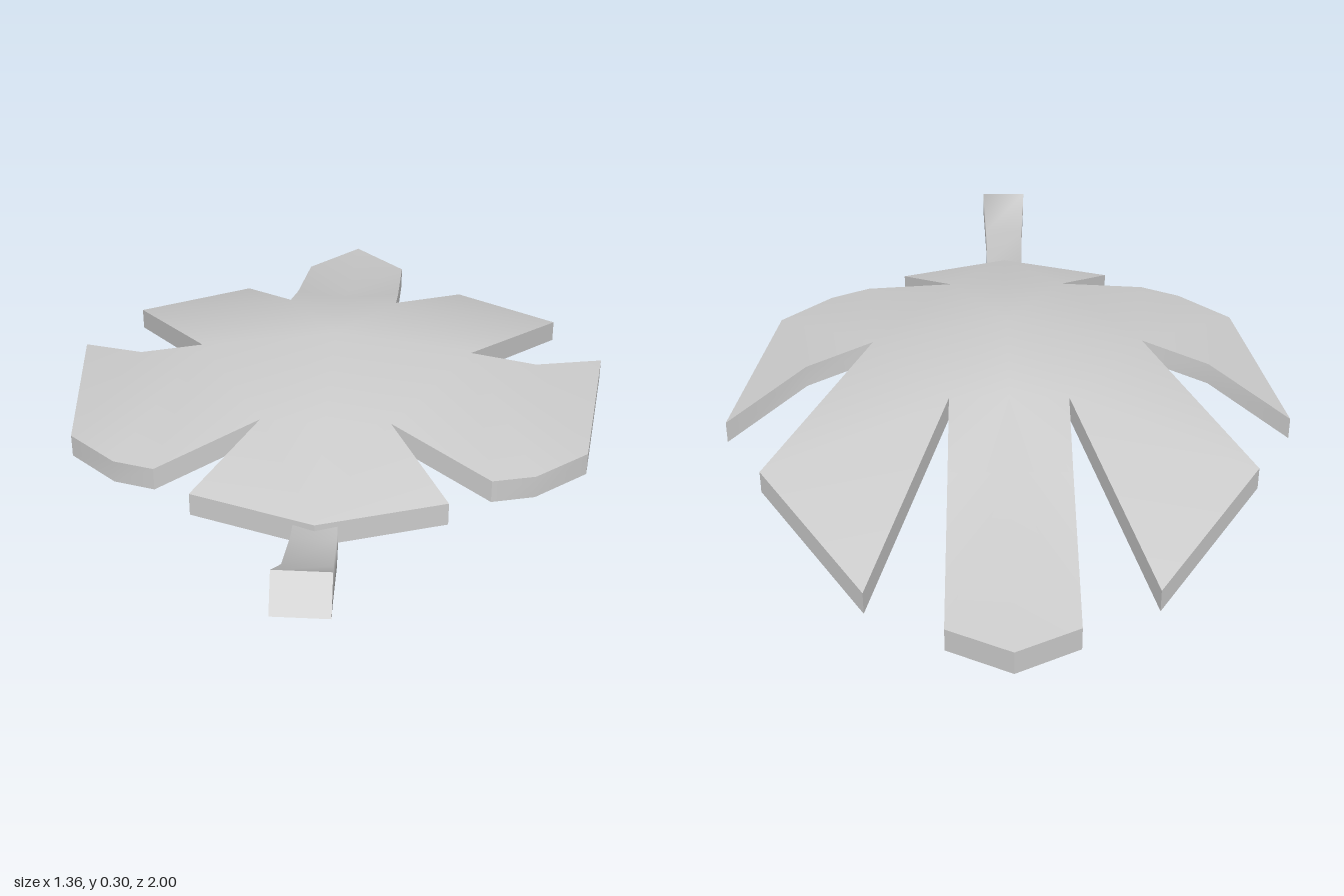
import * as THREE from 'three';
import { mergeVertices, toCreasedNormals } from 'three/addons/utils/BufferGeometryUtils.js';

const THICK = 0.054;

// Half outline of the leaf (x, y, z) from back tip to front tip, then the midrib
const P = [
  [0, 0.095, -0.995], [0.14, 0.073, -0.895], [0.14, 0.18, -0.48], [0.14, 0.25, -0.27],
  [0.315, 0.058, -0.755], [0.57, 0.14, -0.41], [0.335, 0.25, 0.01], [0.5, 0.203, -0.03],
  [0.68, 0.139, -0.19], [0.605, 0.155, 0.32], [0.48, 0.162, 0.44], [0.38, 0.17, 0.48],
  [0.15, 0.24, 0.36], [0.285, 0.165, 0.57], [0, 0.165, 0.675],
  [0, 0.18, -0.48], [0, 0.26, -0.27], [0, 0.302, 0.03], [0, 0.24, 0.37],
];
const RIM = 15; // outline points before the midrib
const FACES = [
  [0, 1, 15], [1, 2, 15], [2, 3, 16], [2, 16, 15], [3, 17, 16], [3, 6, 17],
  [3, 4, 5], [3, 5, 6], [6, 7, 9], [7, 8, 9], [6, 9, 10], [6, 10, 11],
  [6, 11, 12], [6, 12, 17], [12, 18, 17], [12, 13, 14], [12, 14, 18],
];

function fromTriangles(tris, smooth = true) {
  let g = new THREE.BufferGeometry();
  g.setAttribute('position', new THREE.Float32BufferAttribute(tris.flat(2), 3));
  if (smooth) g = mergeVertices(g, 1e-4);
  g.computeVertexNormals();
  return g;
}

const at = (i, side, drop) => [P[i][0] * side, P[i][1] - drop, P[i][2]];

// Upper or lower skin: both halves, each triangle turned to face up or down
function skin(drop, up) {
  const tris = [];
  for (const side of [1, -1]) for (const f of FACES) {
    const [a, b, c] = f.map(i => at(i, side, drop));
    const ny = (b[2] - a[2]) * (c[0] - a[0]) - (b[0] - a[0]) * (c[2] - a[2]);
    tris.push((ny > 0) === up ? [a, b, c] : [a, c, b]);
  }
  return fromTriangles(tris);
}

// Vertical edge wall around the outline
function rim() {
  const tris = [];
  for (const side of [1, -1]) for (let i = 0; i < RIM - 1; i++) {
    const [p, q] = side > 0 ? [i, i + 1] : [i + 1, i];
    const a = at(p, side, 0), b = at(q, side, 0);
    const c = at(q, side, THICK), d = at(p, side, THICK);
    tris.push([a, b, c], [a, c, d]);
  }
  return fromTriangles(tris, false);
}

// Four-sided stem swept along a curve in the middle plane
function stem() {
  // z, y, half width, half thickness
  const path = [
    [0.42, 0.19, 0.04, 0.03], [0.57, 0.128, 0.045, 0.036], [0.7, 0.113, 0.05, 0.034],
    [0.86, 0.143, 0.053, 0.042], [0.987, 0.213, 0.061, 0.045],
  ];
  const rings = path.map(([z, y, w, t], i) => {
    const p = path[Math.max(i - 1, 0)], n = path[Math.min(i + 1, path.length - 1)];
    const len = Math.hypot(n[0] - p[0], n[1] - p[1]);
    const nz = -(n[1] - p[1]) / len, ny = (n[0] - p[0]) / len;
    return [[1, 1], [-1, 1], [-1, -1], [1, -1]]
      .map(([sx, st]) => [sx * w, y + st * t * ny, z + st * t * nz]);
  });
  const sides = [];
  for (let i = 0; i < rings.length - 1; i++) for (let k = 0; k < 4; k++) {
    const a = rings[i][k], b = rings[i][(k + 1) % 4];
    const c = rings[i + 1][(k + 1) % 4], d = rings[i + 1][k];
    sides.push([a, b, c], [a, c, d]);
  }
  const [s, e] = [rings[0], rings[rings.length - 1]];
  const caps = [[e[0], e[1], e[2]], [e[0], e[2], e[3]], [s[0], s[2], s[1]], [s[0], s[3], s[2]]];
  return [fromTriangles(sides), fromTriangles(caps, false)];
}

export function createModel() {
  const model = new THREE.Group();
  model.name = 'leaf';
  const material = new THREE.MeshStandardMaterial({ color: 0xcccccc, side: THREE.DoubleSide });
  const add = (name, geometry) => {
    const mesh = new THREE.Mesh(geometry, material);
    mesh.name = name;
    model.add(mesh);
  };
  add('leafTop', skin(0, true));
  add('leafUnderside', skin(THICK, false));
  add('leafEdge', toCreasedNormals(rim(), 0.5));
  const [sides, caps] = stem();
  add('stem', sides);
  add('stemEnds', caps);
  return model;
}
